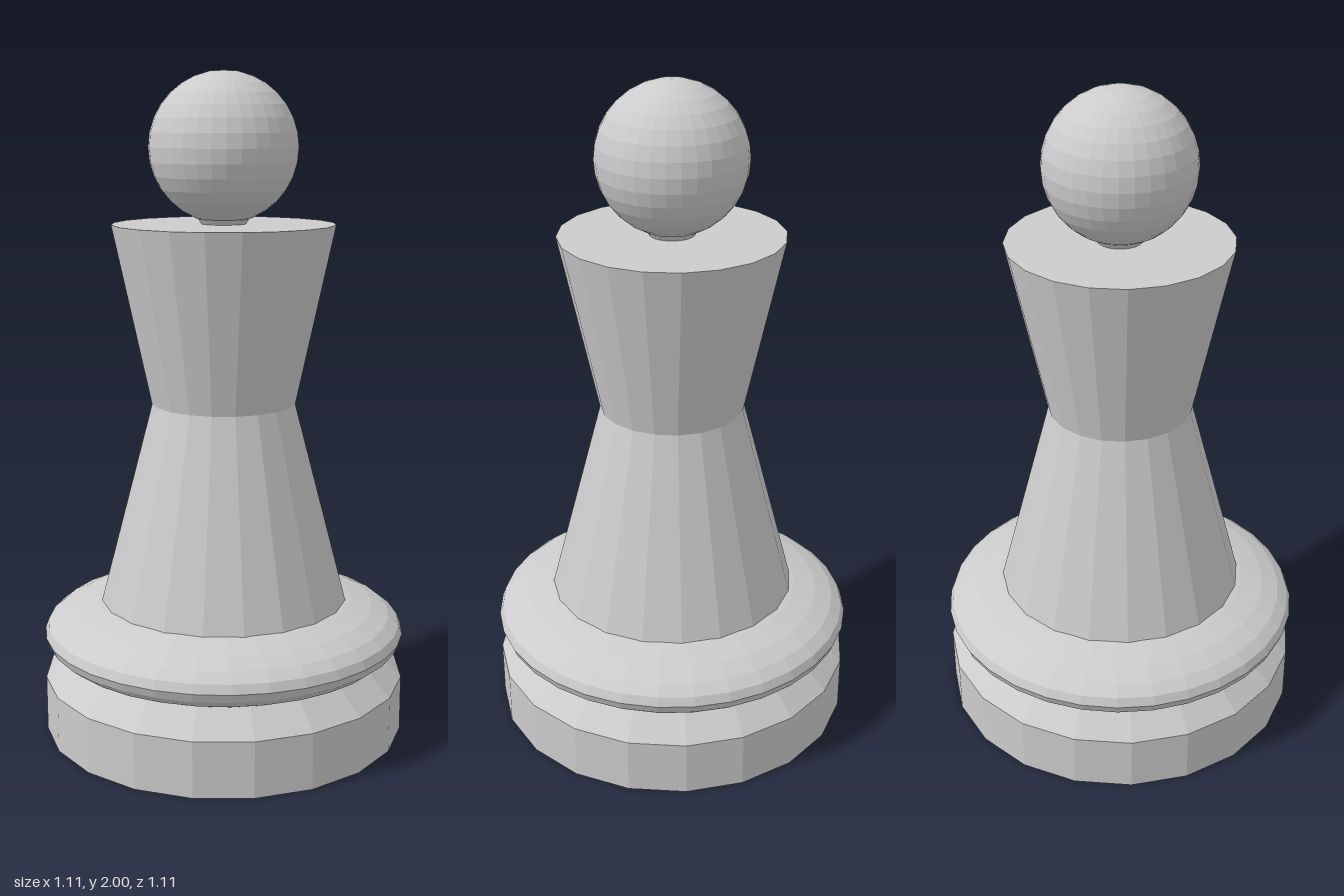
import * as THREE from 'three';

export function createModel() {
  const group = new THREE.Group();
  group.name = 'chessPiece';
  const material = new THREE.MeshStandardMaterial({ color: 0xcccccc, flatShading: true });
  const SIDES = 20;

  const add = (name, geometry, y) => {
    const mesh = new THREE.Mesh(geometry, material);
    mesh.name = name;
    mesh.position.y = y;
    group.add(mesh);
    return mesh;
  };

  // Tapered drum between two heights
  const drum = (name, y0, r0, y1, r1) =>
    add(name, new THREE.CylinderGeometry(r1, r0, y1 - y0, SIDES), (y0 + y1) / 2);

  // Foot and its bevelled shoulder
  drum('base', 0, 0.555, 0.17, 0.555);
  drum('baseShoulder', 0.17, 0.555, 0.26, 0.465);

  // Flattened round collar
  add('collar', new THREE.SphereGeometry(0.555, 32, 16), 0.31).scale.y = 0.137 / 0.555;

  // Waisted body
  drum('lowerBody', 0.405, 0.38, 1.02, 0.218);
  drum('upperBody', 1.02, 0.218, 1.557, 0.333);

  // Short neck and ball on top
  drum('neck', 1.555, 0.065, 1.575, 0.078);
  add('head', new THREE.SphereGeometry(0.221, 32, 16), 1.779);

  return group;
}
